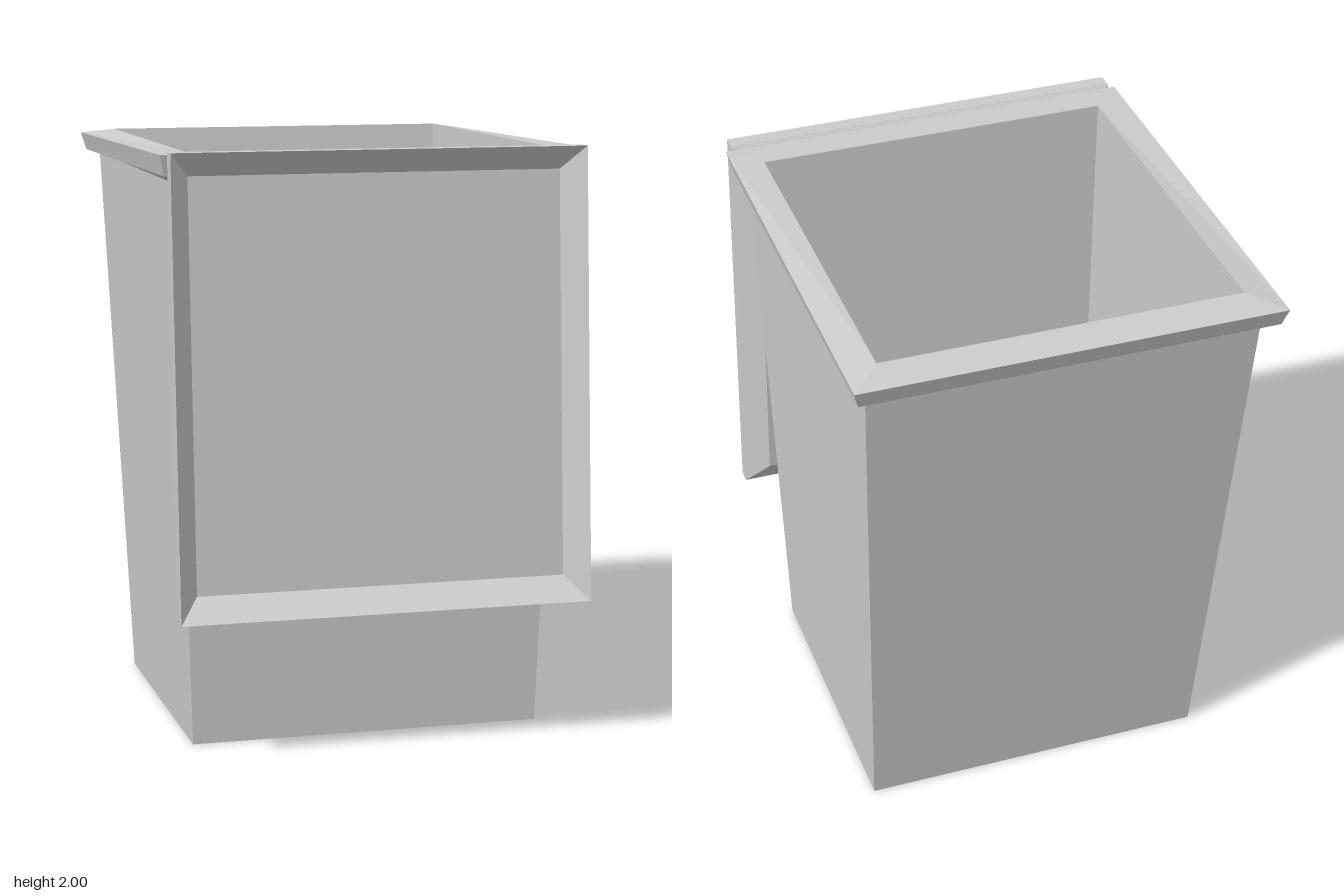
import * as THREE from 'three';

const material = new THREE.MeshStandardMaterial({ color: 0xcccccc, flatShading: true });

// Rectangular cross-section: half width x, and [y, z] of its two cross edges
const section = (x, a, b) => [[x, ...a], [-x, ...a], [-x, ...b], [x, ...b]];

// Skins successive rectangles; optional caps close the first and last one
function skin(name, sections, capped = false) {
  const positions = [];
  const quad = (a, b, c, d) => [a, b, c, a, c, d].forEach((p) => positions.push(...p));
  for (let i = 0; i < sections.length - 1; i++) {
    const s = sections[i], t = sections[i + 1];
    for (let j = 0; j < 4; j++) {
      const k = (j + 1) % 4;
      quad(s[k], s[j], t[j], t[k]);
    }
  }
  if (capped) {
    quad(...sections[0]);
    quad(...[...sections[sections.length - 1]].reverse());
  }
  const geometry = new THREE.BufferGeometry();
  geometry.setAttribute('position', new THREE.Float32BufferAttribute(positions, 3));
  geometry.computeVertexNormals();
  const mesh = new THREE.Mesh(geometry, material);
  mesh.name = name;
  return mesh;
}

export function createModel() {
  const group = new THREE.Group();
  group.name = 'openBin';

  // Tapered double wall, open at top and bottom (front edge, back edge)
  const innerTop = section(0.615, [1.99, 0.565], [1.985, -0.735]);
  const innerBottom = section(0.565, [0, 0.52], [0, -0.49]);
  const outerBottom = section(0.605, [0, 0.56], [0, -0.515]);
  const outerTop = section(0.665, [1.895, 0.61], [1.895, -0.77]);
  group.add(skin('binWalls', [innerTop, innerBottom, outerBottom, outerTop]));

  // Overhanging rim with a slanted edge
  group.add(skin('rim', [
    outerTop,
    section(0.705, [1.92, 0.665], [1.905, -0.832]),
    section(0.722, [1.99, 0.68], [1.967, -0.853]),
    innerTop,
  ]));

  // Lid hanging open at the front: hollow tray (top edge, bottom edge)
  group.add(skin('lid', [
    section(0.63, [1.92, 0.67], [0.56, 0.765]),
    section(0.7, [2, 0.745], [0.485, 0.852]),
    section(0.7, [2, 0.69], [0.485, 0.8]),
    section(0.625, [1.9, 0.615], [0.595, 0.71]),
  ], true));

  return group;
}
